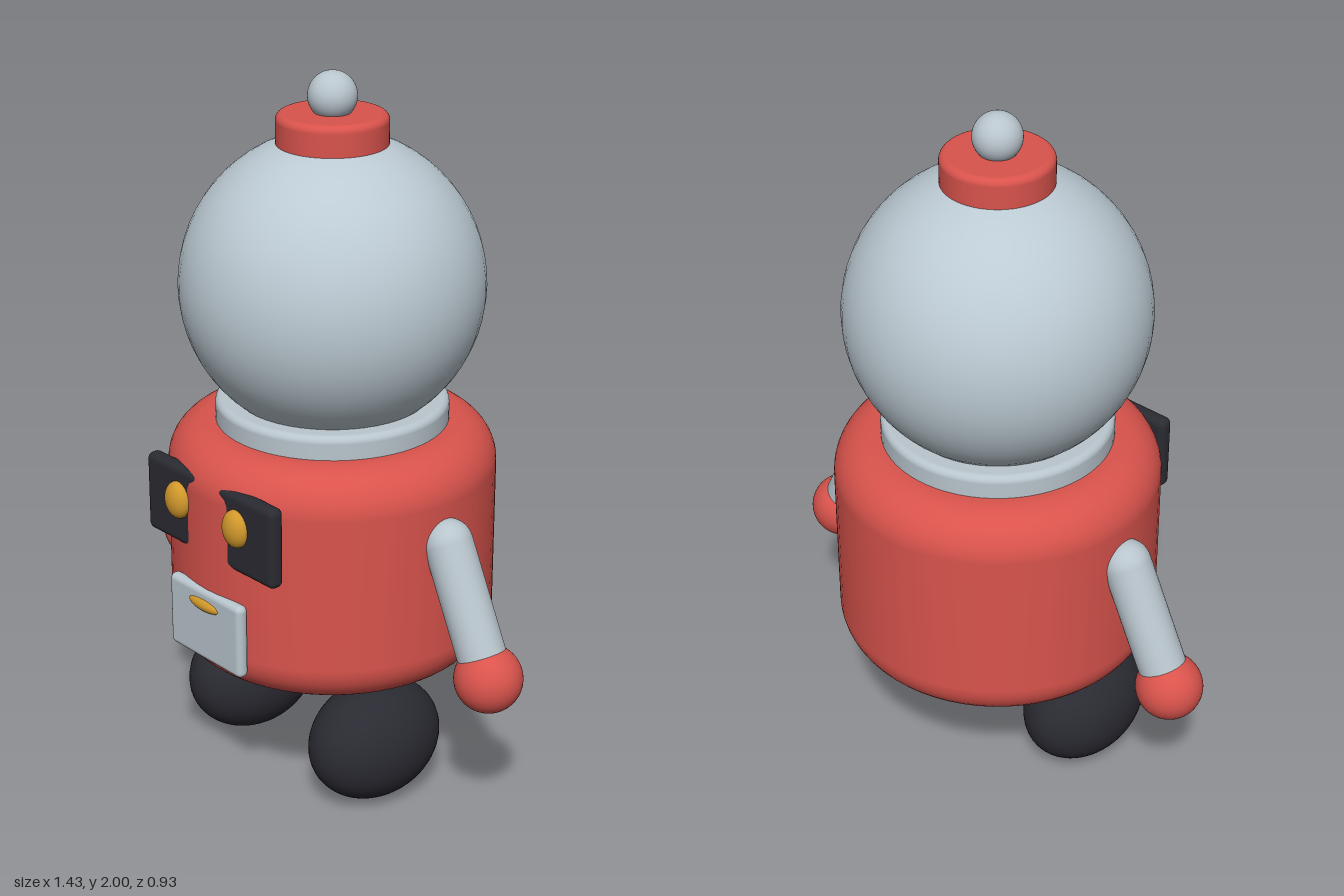
import * as THREE from 'three';
import { RoundedBoxGeometry } from 'three/addons/geometries/RoundedBoxGeometry.js';

const material = (name, color) => {
  const m = new THREE.MeshStandardMaterial({ color });
  m.name = name;
  return m;
};

// Closed disc-shaped drum with rounded rims
function drum(radius, y0, y1, fillet) {
  const pts = [new THREE.Vector2(0, y0)];
  const arc = (cy, start) => {
    for (let i = 0; i <= 10; i++) {
      const a = start + (i / 10) * Math.PI / 2;
      pts.push(new THREE.Vector2(radius - fillet + fillet * Math.cos(a), cy + fillet * Math.sin(a)));
    }
  };
  arc(y0 + fillet, -Math.PI / 2);
  arc(y1 - fillet, 0);
  pts.push(new THREE.Vector2(0, y1));
  return new THREE.LatheGeometry(pts, 64);
}

const ellipsoid = (rx, ry = rx, rz = rx) => new THREE.SphereGeometry(1, 48, 32).scale(rx, ry, rz);

export function createModel() {
  const red = material('red', 0xd9534c);
  const grey = material('pale grey', 0xb9c5cd);
  const dome = material('dome blue grey', 0xbccad3);
  const dark = material('charcoal', 0x2a2a32);
  const gold = material('gold', 0xd1982b);

  const model = new THREE.Group();
  model.name = 'robot';
  const add = (name, geometry, mat, x = 0, y = 0, z = 0) => {
    const mesh = new THREE.Mesh(geometry, mat);
    mesh.name = name;
    mesh.position.set(x, y, z);
    model.add(mesh);
    return mesh;
  };
  const axis = -0.013; // z of the body's centre line

  // Body, collar, head and cap
  add('body', drum(0.452, 0.365, 1.04, 0.12), red, 0, 0, axis);
  add('collar', drum(0.32, 0.99, 1.105, 0.02), grey, 0, 0, axis);
  add('head', ellipsoid(0.414), dome, 0, 1.422, axis);
  add('cap', drum(0.15, 1.79, 1.89, 0.02), red, 0, 0, axis);
  add('knob', ellipsoid(0.066), grey, 0, 1.934, axis);

  // Face: the body bulges through the middle of the eye panel
  add('eyePanel', new RoundedBoxGeometry(0.53, 0.228, 0.046, 4, 0.02), dark, 0, 0.856, 0.408);
  add('mouthPlate', new RoundedBoxGeometry(0.3, 0.214, 0.036, 4, 0.017), grey, 0, 0.547, 0.433);
  add('mouth', ellipsoid(0.065, 0.018, 0.018), gold, 0, 0.61, 0.445);

  // Paired parts
  for (const [side, s] of [['left', 1], ['right', -1]]) {
    add(side + 'Eye', ellipsoid(0.045, 0.053, 0.03), gold, s * 0.122, 0.875, 0.433);

    const shoulder = new THREE.Vector3(s * 0.462, 0.815, axis);
    const wrist = new THREE.Vector3(s * 0.624, 0.475, axis);
    const along = wrist.clone().sub(shoulder);
    const arm = add(side + 'Arm', new THREE.CapsuleGeometry(0.067, along.length(), 12, 32), grey);
    arm.position.copy(shoulder).addScaledVector(along, 0.5);
    arm.quaternion.setFromUnitVectors(new THREE.Vector3(0, 1, 0), along.clone().normalize());

    add(side + 'Hand', ellipsoid(0.093), red, wrist.x, wrist.y, wrist.z);
    add(side + 'Foot', ellipsoid(0.149, 0.17, 0.207), dark, s * 0.265, 0.17, 0.065);
  }
  return model;
}
